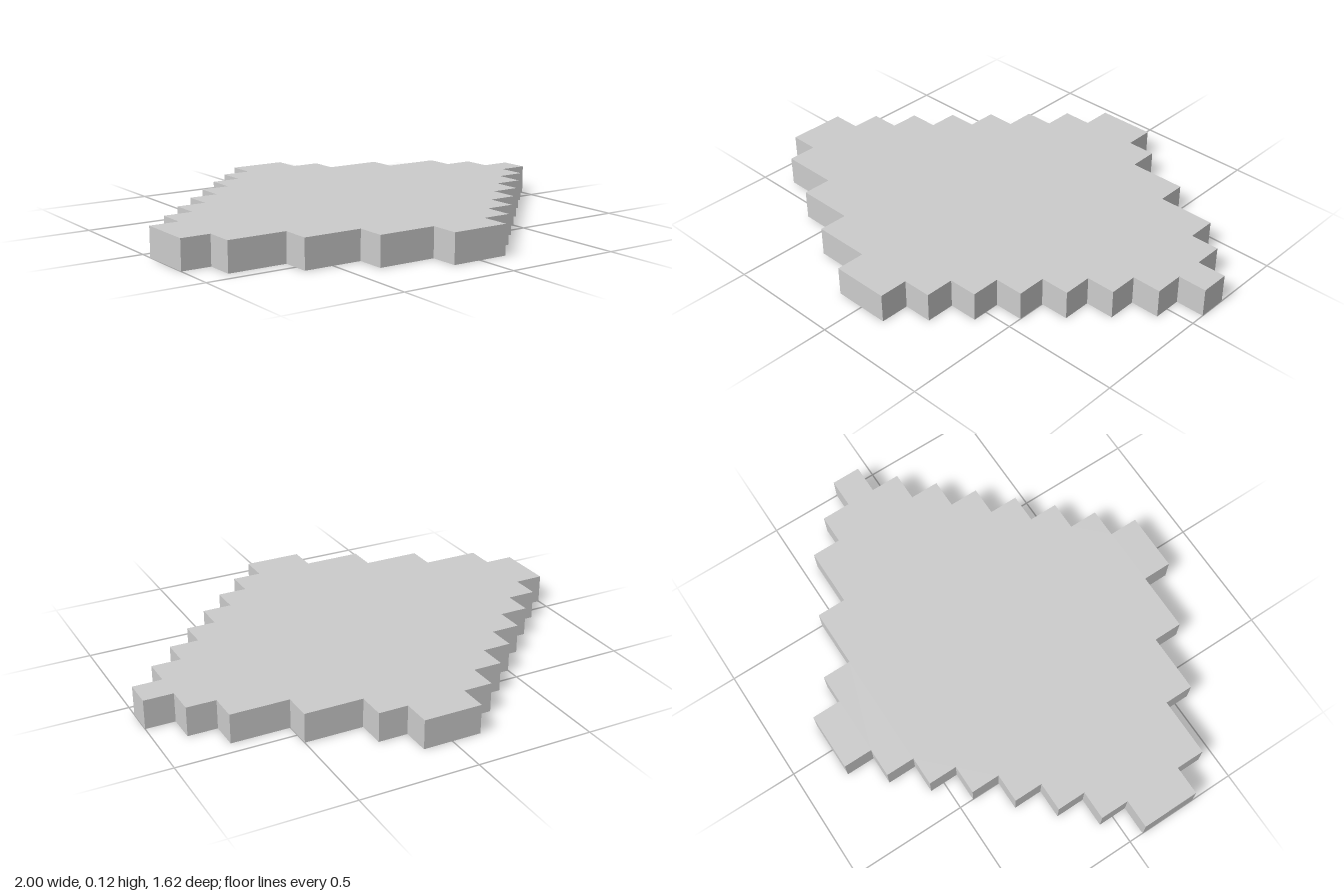
import * as THREE from 'three';

const CELL = 0.125;

// Left and right ends of each row of cells, from back to front
const ROWS = [
  [-1, 1], [-2, 2], [-3, 4], [-4, 6], [-5, 7], [-6, 8], [-7, 7],
  [-8, 6], [-8, 5], [-7, 4], [-5, 3], [-3, 2], [-1, 1],
];

// Stepped outline: down the right ends, then back up the left ends
function steppedOutline() {
  const zAt = (row) => (row - ROWS.length / 2) * CELL;
  const right = [], left = [];
  ROWS.forEach(([l, r], i) => {
    for (const z of [zAt(i), zAt(i + 1)]) {
      right.push(new THREE.Vector2(r * CELL, -z));
      left.unshift(new THREE.Vector2(l * CELL, -z));
    }
  });
  // Drop repeated corners where neighbouring rows end at the same place
  const points = [...right, ...left];
  return new THREE.Shape(points.filter((p, i) => i === 0 || !p.equals(points[i - 1])));
}

export function createModel() {
  const group = new THREE.Group();
  group.name = 'steppedTile';

  // Flat slab, one cell thick, laid on the ground
  const geometry = new THREE.ExtrudeGeometry(steppedOutline(), { depth: CELL, bevelEnabled: false });
  geometry.rotateX(-Math.PI / 2);
  const slab = new THREE.Mesh(
    geometry,
    new THREE.MeshStandardMaterial({ color: 0xcccccc, flatShading: true })
  );
  slab.name = 'slab';
  group.add(slab);
  return group;
}
